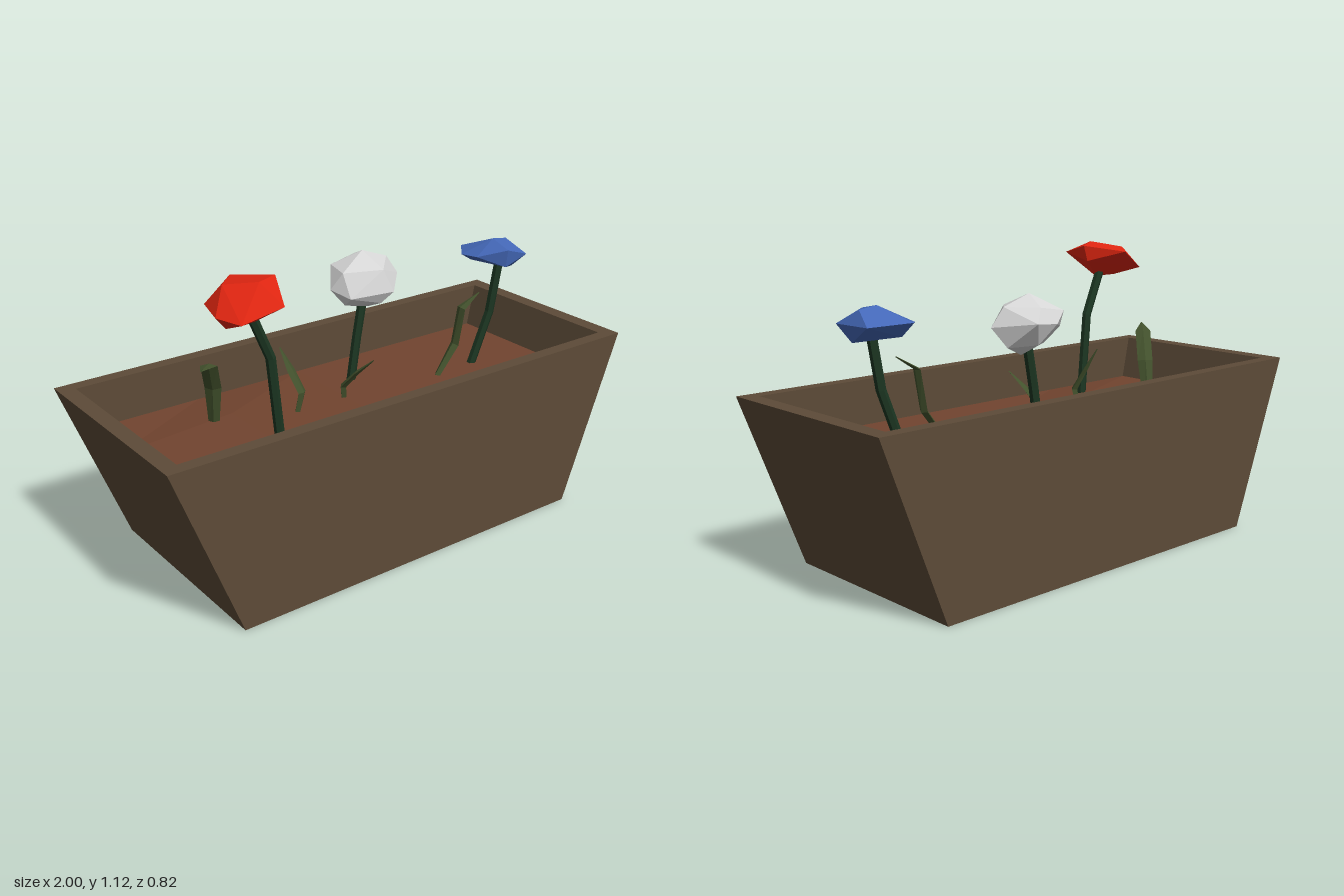
import * as THREE from 'three';
import { ConvexGeometry } from 'three/addons/geometries/ConvexGeometry.js';

const mat = (name, color) => {
  const m = new THREE.MeshStandardMaterial({ color, flatShading: true });
  m.name = name;
  return m;
};

// Joins a list of equal rings (counter-clockwise about the path) into a faceted skin
function skin(rings) {
  const pos = [];
  const n = rings[0].length;
  for (let i = 0; i < rings.length - 1; i++) {
    for (let j = 0; j < n; j++) {
      const k = (j + 1) % n;
      const a = rings[i][j], b = rings[i][k], c = rings[i + 1][k], d = rings[i + 1][j];
      for (const p of [a, b, c, a, c, d]) pos.push(...p);
    }
  }
  const g = new THREE.BufferGeometry();
  g.setAttribute('position', new THREE.Float32BufferAttribute(pos, 3));
  g.computeVertexNormals();
  return g;
}

// Sweeps an elliptical section along a path; side is the direction of its width
function sweep(points, widths, thicks, sides, side) {
  const path = points.map(p => new THREE.Vector3(...p));
  const w = new THREE.Vector3(...side).normalize();
  return skin(path.map((p, i) => {
    const t = path[Math.min(i + 1, path.length - 1)].clone().sub(path[Math.max(i - 1, 0)]);
    const n = t.cross(w).normalize();
    return Array.from({ length: sides }, (_, j) => {
      const a = j / sides * Math.PI * 2;
      return p.clone().addScaledVector(w, Math.cos(a) * widths[i])
        .addScaledVector(n, Math.sin(a) * thicks[i]).toArray();
    });
  }));
}

export function createModel() {
  const wood = mat('wood', 0x5d4b38);
  const earth = mat('earth', 0x72442f);
  const stemGreen = mat('stemGreen', 0x1c3622);
  const leafGreen = mat('leafGreen', 0x43522d);
  leafGreen.side = THREE.DoubleSide;
  const red = mat('redPetals', 0xe22611);
  const white = mat('whitePetals', 0xd8d8d8);
  const blue = mat('bluePetals', 0x4468b8);

  const model = new THREE.Group();
  model.name = 'flowerPlanter';
  const add = (name, geometry, material) => {
    const m = new THREE.Mesh(geometry, material);
    m.name = name;
    model.add(m);
  };

  // Trough: underside, flared outside, rim and inner walls
  const rect = (x, y, z) => [[x, y, z], [x, y, -z], [-x, y, -z], [-x, y, z]];
  add('trough', skin([
    rect(0, 0, 0), rect(0.75, 0, 0.41), rect(1, 0.66, 0.41),
    rect(0.94, 0.66, 0.36), rect(0.9, 0.47, 0.36),
  ]), wood);

  // Soil with a low mound
  const soil = new THREE.PlaneGeometry(1.81, 0.72, 4, 3).rotateX(-Math.PI / 2);
  const p = soil.attributes.position;
  for (let i = 0; i < p.count; i++) {
    const inner = Math.abs(p.getZ(i)) < 0.2;
    const mound = inner && Math.abs(p.getX(i) + 0.45) < 0.1;
    p.setY(i, mound ? 0.52 : 0.49);
  }
  soil.computeVertexNormals();
  add('soil', soil, earth);

  // Flowers: a six-sided stem and a faceted head
  const flowers = [
    ['redFlower', red,
      [[-0.42, 0.48, 0.15], [-0.46, 0.83, 0.16], [-0.54, 1.02, 0.16]],
      [[-0.63, 1.02, 0.03], [-0.51, 1.09, 0], [-0.42, 1.11, 0.14], [-0.51, 1.07, 0.33],
        [-0.64, 1.02, 0.28], [-0.67, 1.02, 0.17], [-0.52, 1.12, 0.2], [-0.6, 1.1, 0.1],
        [-0.64, 0.98, 0.18], [-0.53, 0.98, 0.18], [-0.43, 1.05, 0.13]]],
    ['whiteFlower', white,
      [[0.12, 0.47, -0.17], [0.15, 0.66, -0.17], [0.18, 0.82, -0.17]],
      [[0.16, 0.9, -0.3], [0.26, 0.91, -0.31], [0.34, 0.89, -0.16], [0.22, 0.87, -0.03],
        [0.07, 0.85, -0.1], [0.04, 0.87, -0.19], [0.1, 0.94, -0.27],
        [0.19, 1, -0.19], [0.3, 0.96, -0.18], [0.2, 0.95, -0.07], [0.07, 0.94, -0.15], [0.22, 0.96, -0.28],
        [0.2, 0.78, -0.16], [0.3, 0.82, -0.2], [0.08, 0.81, -0.15], [0.22, 0.83, -0.27], [0.19, 0.82, -0.07]]],
    ['blueFlower', blue,
      [[0.61, 0.46, -0.02], [0.69, 0.7, 0], [0.72, 0.91, 0.01]],
      [[0.67, 0.94, -0.16], [0.81, 0.93, -0.1], [0.82, 0.93, 0.06], [0.7, 0.97, 0.08],
        [0.61, 0.94, 0], [0.61, 0.93, -0.09], [0.72, 0.99, -0.03], [0.79, 0.98, -0.03],
        [0.8, 0.87, 0], [0.68, 0.89, -0.11], [0.7, 0.9, 0.07]]],
  ];
  for (const [name, petals, path, hull] of flowers) {
    const r = [0.018, 0.018, 0.018];
    add(name + 'Stem', sweep(path, r, r, 6, [0, 0, 1]), stemGreen);
    add(name + 'Head', new ConvexGeometry(hull.map(v => new THREE.Vector3(...v))), petals);
  }

  // Sprouts: thin blades tapering to a point
  const sprouts = [
    ['rightSprout', 0.03, [0.78, 0, 0.63],
      [[-0.53, 0.48, -0.12], [-0.55, 0.66, -0.08], [-0.59, 0.77, -0.03], [-0.66, 0.79, 0.04]]],
    ['midRightSprout', 0.02, [1, 0, -0.3],
      [[-0.24, 0.48, -0.02], [-0.22, 0.58, -0.01], [-0.24, 0.66, -0.05], [-0.26, 0.74, -0.09]]],
    ['middleSprout', 0.02, [1, 0, -0.4],
      [[0, 0.47, -0.05], [-0.01, 0.54, -0.04], [0.01, 0.61, 0.02], [0.04, 0.67, 0.08]]],
    ['leftSprout', 0.025, [-0.1, 0, 1],
      [[0.41, 0.47, 0], [0.51, 0.6, 0], [0.53, 0.75, 0.01], [0.61, 0.8, 0.02]]],
  ];
  for (const [name, w, side, path] of sprouts) {
    add(name, sweep(path, [w * 0.6, w, w, 0.003], [0.01, 0.012, 0.008, 0.002], 4, side), leafGreen);
  }
  return model;
}
